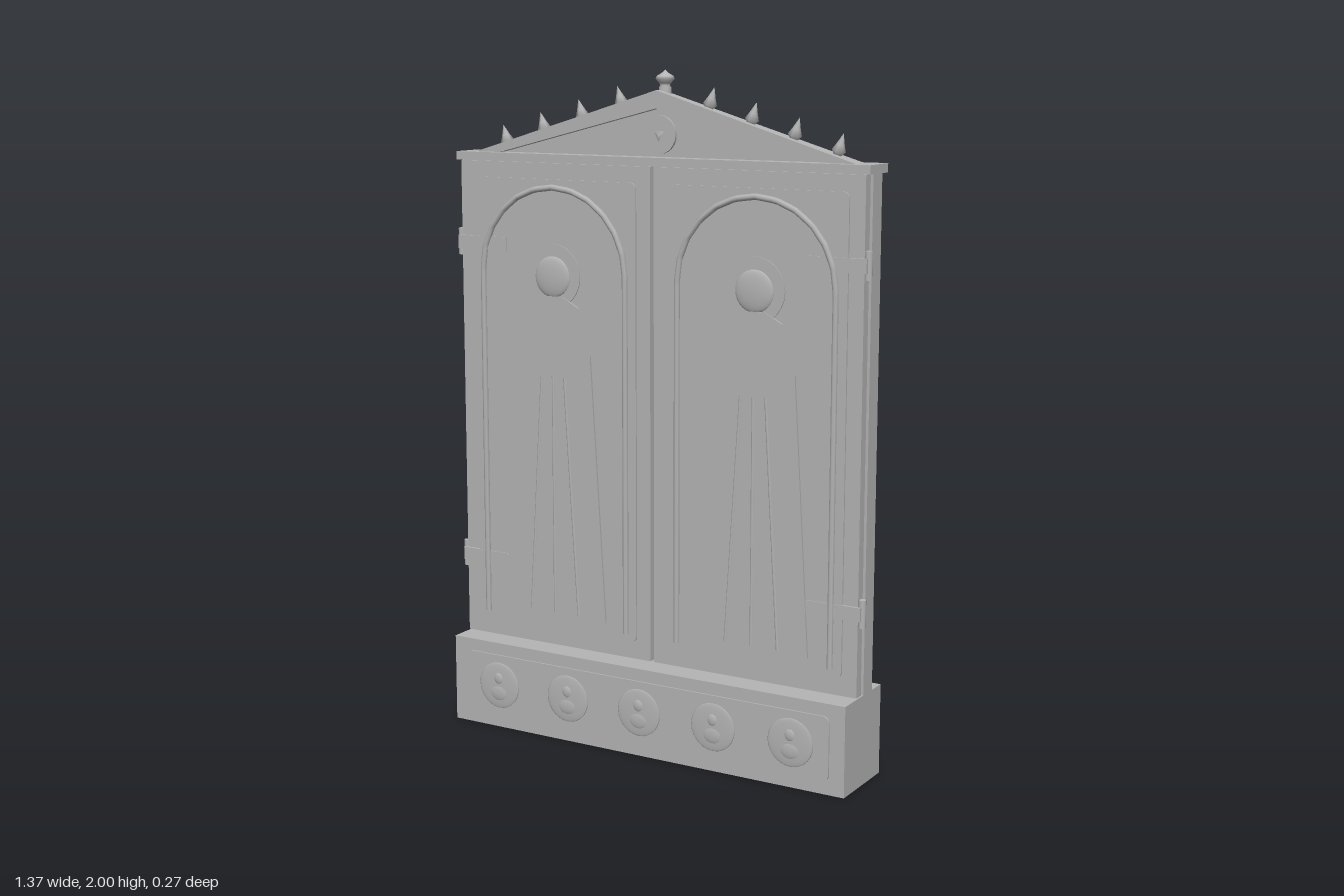
import * as THREE from 'three';

const grey = new THREE.MeshStandardMaterial({ color: 0xb4b4b4 });
grey.name = 'plain grey';

export function createModel() {
  const model = new THREE.Group();
  model.name = 'shrineCabinet';

  const add = (parent, name, geometry, x = 0, y = 0, z = 0) => {
    const mesh = new THREE.Mesh(geometry, grey);
    mesh.name = name;
    mesh.position.set(x, y, z);
    parent.add(mesh);
    return mesh;
  };
  // Box given by its limits
  const box = (parent, name, x0, x1, y0, y1, z0, z1) =>
    add(parent, name, new THREE.BoxGeometry(x1 - x0, y1 - y0, z1 - z0),
      (x0 + x1) / 2, (y0 + y1) / 2, (z0 + z1) / 2);
  // Flat shape pushed out from z0 to z1
  const slab = (parent, name, points, z0, z1) => {
    const shape = new THREE.Shape(points.map(([x, y]) => new THREE.Vector2(x, y)));
    return add(parent, name,
      new THREE.ExtrudeGeometry(shape, { depth: z1 - z0, bevelEnabled: false }), 0, 0, z0);
  };
  // Raised panel with rounded corners
  const panel = (parent, name, x0, x1, y0, y1, r, z0, z1) => {
    const s = new THREE.Shape();
    s.absarc(x1 - r, y1 - r, r, 0, Math.PI / 2);
    s.absarc(x0 + r, y1 - r, r, Math.PI / 2, Math.PI);
    s.absarc(x0 + r, y0 + r, r, Math.PI, Math.PI * 1.5);
    s.absarc(x1 - r, y0 + r, r, Math.PI * 1.5, Math.PI * 2);
    return add(parent, name, new THREE.ExtrudeGeometry(s,
      { depth: z1 - z0, bevelEnabled: false, curveSegments: 4 }), 0, 0, z0);
  };
  // Round plate facing the front
  const disc = (parent, name, r, x, y, z0, z1) => {
    const m = add(parent, name, new THREE.CylinderGeometry(r, r, z1 - z0, 24), x, y, (z0 + z1) / 2);
    m.rotation.x = Math.PI / 2;
    return m;
  };
  // Flattened ball
  const boss = (parent, name, rx, ry, rz, x, y, z) => {
    const m = add(parent, name, new THREE.SphereGeometry(1, 24, 14), x, y, z);
    m.scale.set(rx, ry, rz);
    return m;
  };

  // Base with front panel, relief medallions and rear handles
  const base = new THREE.Group();
  base.name = 'base';
  model.add(base);
  box(base, 'plinth', -0.667, 0.667, 0, 0.267, -0.117, 0.117);
  panel(base, 'plinthPanel', -0.62, 0.62, 0.04, 0.23, 0.02, 0.117, 0.122);
  for (const x of [-0.5, -0.25, 0, 0.25, 0.5]) {
    boss(base, 'medallion', 0.072, 0.072, 0.005, x, 0.135, 0.122);
    boss(base, 'medallionHead', 0.018, 0.02, 0.007, x, 0.157, 0.123);
    boss(base, 'medallionBust', 0.034, 0.027, 0.006, x, 0.112, 0.123);
  }
  for (const x of [-0.427, 0.427]) {
    box(base, 'handleBar', x - 0.067, x + 0.067, 0.143, 0.16, -0.136, -0.125);
    for (const s of [-1, 1])
      box(base, 'handlePost', x + s * 0.058 - 0.008, x + s * 0.058 + 0.008, 0.144, 0.159, -0.126, -0.117);
  }

  // Case, recessed lining and cornice
  box(model, 'case', -0.667, 0.667, 0.267, 1.73, -0.057, 0);
  box(model, 'lining', -0.652, 0.652, 0.267, 1.73, 0, 0.016);
  box(model, 'cornice', -0.68, 0.68, 1.73, 1.755, -0.065, 0.049);

  // Doors, built around their own centre line
  const robe = [[0.035, 1.34], [0.09, 1.31], [0.13, 1.17], [0.18, 0.367]];
  const robeOutline = [...robe.map(([x, y]) => [-x, y]), ...robe.slice().reverse()];
  for (const side of [-1, 1]) {
    const door = new THREE.Group();
    door.name = side < 0 ? 'rightDoor' : 'leftDoor';
    door.position.x = side * 0.336;
    model.add(door);
    box(door, 'doorLeaf', -0.33, 0.33, 0.27, 1.729, 0.015, 0.044);
    panel(door, 'doorPanel', -0.284, 0.284, 0.322, 1.682, 0.018, 0.044, 0.049);

    // Arched moulding
    const path = new THREE.CurvePath();
    const arc = [new THREE.Vector3(0.249, 0.345, 0)];
    for (let i = 0; i <= 12; i++) {
      const a = Math.PI * i / 12;
      arc.push(new THREE.Vector3(Math.cos(a) * 0.249, 1.41 + Math.sin(a) * 0.249, 0));
    }
    arc.push(new THREE.Vector3(-0.249, 0.345, 0));
    for (let i = 1; i < arc.length; i++) path.add(new THREE.LineCurve3(arc[i - 1], arc[i]));
    add(door, 'archMoulding', new THREE.TubeGeometry(path, 160, 0.009, 8), 0, 0, 0.051);

    // Robed relief figure
    disc(door, 'halo', 0.095, 0, 1.4, 0.048, 0.052);
    slab(door, 'robe', robeOutline, 0.048, 0.055);
    boss(door, 'head', 0.061, 0.061, 0.011, 0, 1.397, 0.051);
    for (const k of [-1, 0, 1]) {
      const top = new THREE.Vector3(k * 0.04, 1.1, 0.053);
      const foot = new THREE.Vector3(k * 0.085, 0.375, 0.053);
      add(door, 'robeFold', new THREE.TubeGeometry(new THREE.LineCurve3(top, foot), 1, 0.005, 8));
    }

    // Strap hinges on the outer edge
    for (const y of [0.515, 1.485]) {
      box(door, 'hingeStrap', side > 0 ? 0.164 : -0.34, side > 0 ? 0.34 : -0.164,
        y - 0.02, y + 0.02, 0.043, 0.052);
      add(door, 'hingeBarrel', new THREE.CylinderGeometry(0.011, 0.011, 0.08, 12),
        side * 0.338, y, 0.034);
    }
  }

  // Pediment with raking moulding and round ornament
  const pediment = new THREE.Group();
  pediment.name = 'pediment';
  model.add(pediment);
  slab(pediment, 'gable', [[-0.61, 1.755], [0.61, 1.755], [0, 1.935]], -0.056, -0.002);
  slab(pediment, 'rakingMoulding', [[-0.625, 1.755], [-0.54, 1.755], [0, 1.892],
    [0.54, 1.755], [0.625, 1.755], [0, 1.943]], -0.004, 0.022);
  disc(pediment, 'gableMedallion', 0.055, 0, 1.818, -0.003, 0.006);
  const point = add(pediment, 'gableStud', new THREE.ConeGeometry(0.022, 0.01, 3), 0, 1.818, 0.01);
  point.rotation.x = Math.PI / 2;

  // Leaf spikes standing square to the slopes
  const slope = Math.atan2(0.18, 0.61);
  const bud = [[0.008, -0.004], [0.02, 0.012], [0.012, 0.03], [0, 0.062]]
    .map(([r, y]) => new THREE.Vector2(r, y));
  for (const side of [-1, 1]) {
    for (const x of [0.143, 0.277, 0.411, 0.545]) {
      const spike = add(pediment, 'spike', new THREE.LatheGeometry(bud, 6),
        side * x, 1.935 - x * 0.18 / 0.61, -0.03);
      spike.rotation.z = -side * slope;
    }
  }

  // Finial at the peak
  const finial = [[0.018, 1.92], [0.018, 1.95], [0.014, 1.956], [0.017, 1.962],
    [0.028, 1.974], [0.024, 1.982], [0.008, 1.992], [0, 2]]
    .map(([r, y]) => new THREE.Vector2(r, y));
  add(pediment, 'finial', new THREE.LatheGeometry(finial, 16), 0, 0, -0.03);

  return model;
}
